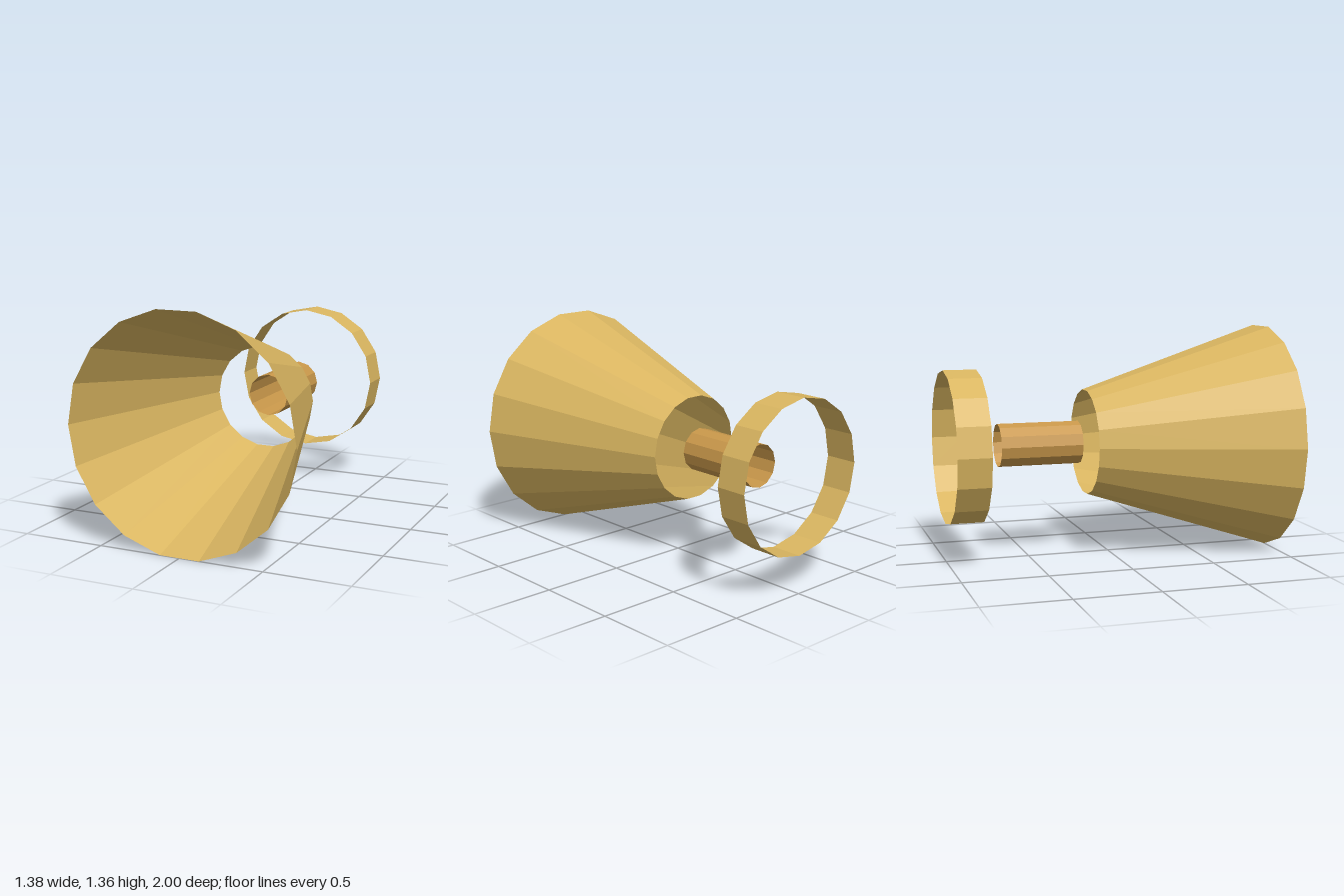
import * as THREE from 'three';

const AXIS_Y = 0.683; // height of the shared axis

export function createModel() {
  const model = new THREE.Group();

  const brass = new THREE.MeshStandardMaterial({ color: 0xd9b560, flatShading: true, side: THREE.DoubleSide });
  brass.name = 'brass';
  const bronze = new THREE.MeshStandardMaterial({ color: 0xc8974a, flatShading: true, side: THREE.DoubleSide });
  bronze.name = 'bronze';

  // Open faceted tube along z, with a corner on the +x side
  function openTube(name, material, sides, frontRadius, backRadius, frontZ, backZ) {
    const geometry = new THREE.CylinderGeometry(
      frontRadius, backRadius, frontZ - backZ, sides, 1, true, Math.PI / 2, Math.PI * 2);
    geometry.rotateX(Math.PI / 2);
    const mesh = new THREE.Mesh(geometry, material);
    mesh.name = name;
    mesh.position.set(0, AXIS_Y, (frontZ + backZ) / 2);
    model.add(mesh);
  }

  // Flared horn at the front, narrow stem, then the rim ring at the back
  openTube('hornBell', brass, 18, 0.692, 0.317, 1, -0.145);
  openTube('stem', bronze, 12, 0.129, 0.129, -0.188, -0.682);
  openTube('backRing', brass, 16, 0.454, 0.454, -0.803, -1);

  return model;
}
